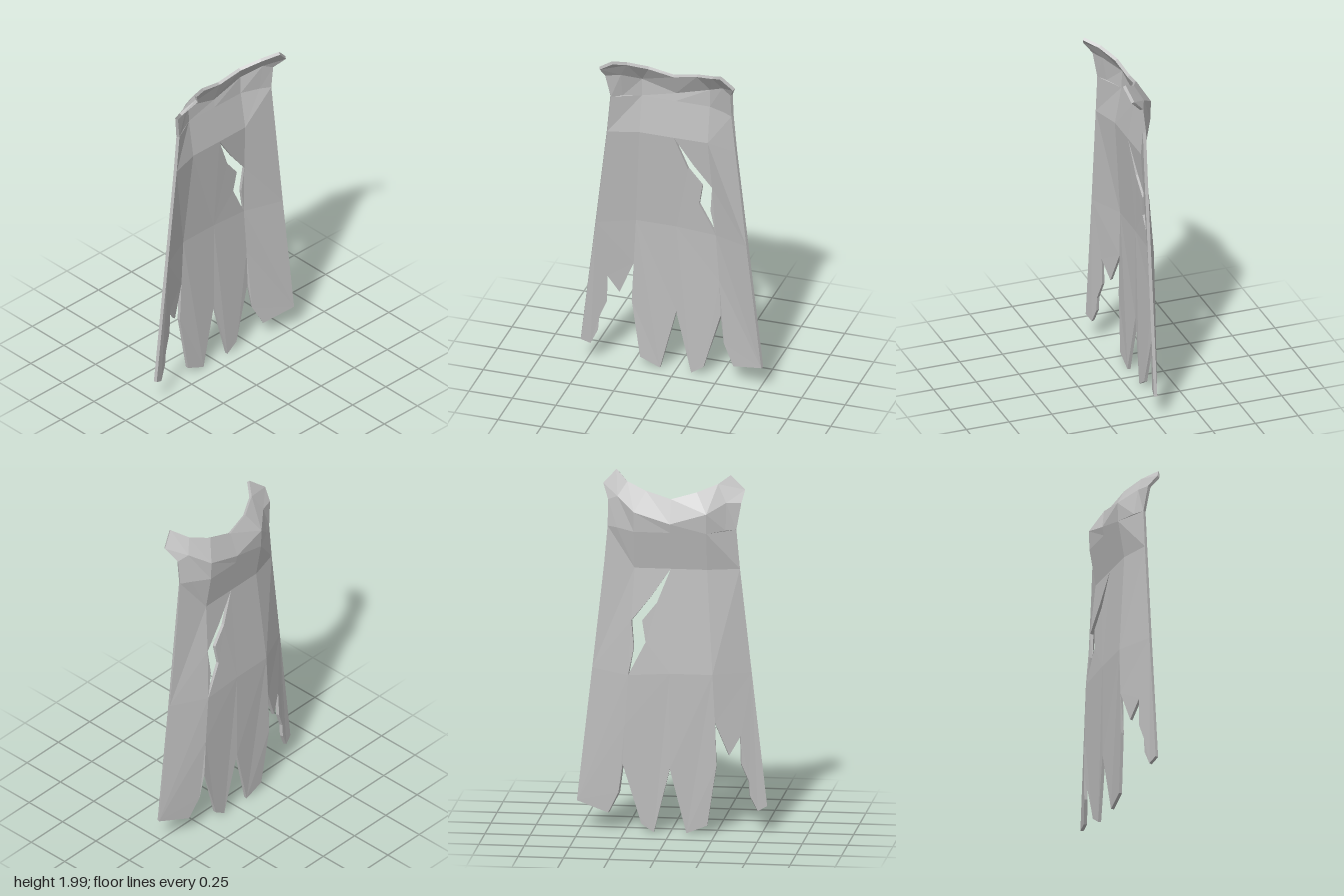
import * as THREE from 'three';

const THICK = 0.018;

// Piecewise-linear lookup through [key, value] pairs with rising keys
function lerpTable(table, k) {
  if (k <= table[0][0]) return table[0][1];
  for (let i = 1; i < table.length; i++) {
    const [k0, v0] = table[i - 1], [k1, v1] = table[i];
    if (k <= k1) return v0 + (v1 - v0) * (k - k0) / (k1 - k0);
  }
  return table[table.length - 1][1];
}

// Depth of the hanging cloth: flat back, sides swept forward from the folds
const backDepth = [[0, -0.092], [0.4, -0.105], [0.9, -0.105], [1.2, -0.085], [1.48, -0.06], [1.7, -0.098]];
const foldX = [[0.4, 0.26], [0.9, 0.232], [1.48, 0.2]];
const edgeX = [[0.15, 0.525], [1.48, 0.375], [1.7, 0.355]];
function clothDepth(x, y) {
  const back = lerpTable(backDepth, y), fold = lerpTable(foldX, y), edge = lerpTable(edgeX, y);
  const t = Math.max(0, (Math.abs(x) - fold) / (edge - fold));
  return back + (-0.012 - back) * Math.min(1, t);
}

// Turns flat panels into one folded sheet with thickness
function sheetGeometry(panels) {
  const points = [], lookup = new Map(), tris = [];
  const indexOf = ([x, y, z]) => {
    const key = x.toFixed(3) + ',' + y.toFixed(3);
    if (!lookup.has(key)) {
      lookup.set(key, points.length);
      points.push(new THREE.Vector3(x, y, z === undefined ? clothDepth(x, y) : z));
    }
    return lookup.get(key);
  };
  for (const panel of panels) {
    const ids = panel.map(indexOf);
    const flat = ids.map(i => new THREE.Vector2(points[i].x, points[i].y));
    if (THREE.ShapeUtils.area(flat) < 0) { flat.reverse(); ids.reverse(); }
    for (const [a, b, c] of THREE.ShapeUtils.triangulateShape(flat, [])) {
      const ccw = THREE.ShapeUtils.area([flat[a], flat[b], flat[c]]) > 0;
      tris.push(ccw ? [ids[a], ids[b], ids[c]] : [ids[a], ids[c], ids[b]]);
    }
  }
  // Inner layer is the outer layer moved along averaged normals
  const normals = points.map(() => new THREE.Vector3());
  const edges = new Set();
  for (const [a, b, c] of tris) {
    const n = points[b].clone().sub(points[a]).cross(points[c].clone().sub(points[a])).normalize();
    for (const i of [a, b, c]) normals[i].add(n);
    for (const [i, j] of [[a, b], [b, c], [c, a]]) edges.add(i + '_' + j);
  }
  const inner = points.map((p, i) => p.clone().addScaledVector(normals[i].normalize(), THICK));
  const out = [];
  const put = (...verts) => verts.forEach(v => out.push(v.x, v.y, v.z));
  for (const [a, b, c] of tris) {
    put(inner[a], inner[b], inner[c]);
    put(points[a], points[c], points[b]);
  }
  // Walls close the sheet along every free edge
  for (const e of edges) {
    const [i, j] = e.split('_').map(Number);
    if (edges.has(j + '_' + i)) continue;
    put(points[i], points[j], inner[j]);
    put(points[i], inner[j], inner[i]);
  }
  const geo = new THREE.BufferGeometry();
  geo.setAttribute('position', new THREE.Float32BufferAttribute(out, 3));
  geo.computeVertexNormals();
  return geo;
}

export function createModel() {
  const cloth = new THREE.MeshStandardMaterial({ color: 0xbcbcbc });
  cloth.name = 'greyCloth';
  cloth.flatShading = true;
  const panels = [];

  // Collar and shoulders, built on each side
  for (const s of [-1, 1]) {
    const r = s > 0;
    const seam = [[0, 1.74, -0.105], [s * 0.2, 1.8, -0.1], [s * 0.3, r ? 1.87 : 1.85, -0.02], [s * (r ? 0.355 : 0.38), 1.845, 0.005]];
    const rim = [[0, 1.87, -0.055], [s * 0.14, 1.908, -0.035], [s * 0.25, 1.945, 0.02],
      r ? [0.32, 1.995, 0.095] : [-0.31, 1.98, 0.095], r ? [0.39, 1.92, 0.07] : [-0.395, 1.91, 0.055]];
    const row = [[0, 1.69], [s * 0.2, 1.69], [s * 0.3, 1.7, -0.045], [s * 0.355, 1.7]];
    panels.push(
      [seam[0], seam[1], rim[1], rim[0]],
      [seam[1], seam[2], rim[2]], [seam[1], rim[2], rim[1]],
      [seam[2], rim[4], rim[3], rim[2]],
      [seam[2], seam[3], rim[4]]);
    for (let i = 0; i < 3; i++) panels.push([row[i], row[i + 1], seam[i + 1], seam[i]]);
    // Upper back
    panels.push(
      [[0, 1.48], [s * 0.2, 1.48], row[1], row[0]],
      [[s * 0.2, 1.48], [s * 0.375, 1.48], row[3], row[2], row[1]]);
  }

  // Middle of the cape, with the tear on the left
  panels.push(
    [[-0.375, 1.48], [-0.44, 0.9], [-0.235, 0.9], [-0.2, 1.48]],
    [[-0.2, 1.48], [-0.235, 0.9], [0, 0.9], [0, 1.48]],
    [[0, 1.48], [0, 0.9], [0.23, 0.885], [0.135, 1.07], [0.155, 1.19], [0.075, 1.29]],
    [[0, 1.48], [0.11, 1.32], [0.215, 1.19], [0.2, 1.48]],
    [[0.2, 1.48], [0.215, 1.19], [0.2, 1.04], [0.23, 0.885], [0.44, 0.9], [0.375, 1.48]]);

  // Ragged hem strips
  panels.push(
    [[-0.44, 0.9], [-0.525, 0.15], [-0.475, 0.125], [-0.435, 0.21], [-0.43, 0.29], [-0.39, 0.39],
      [-0.385, 0.55], [-0.325, 0.445], [-0.25, 0.63], [-0.235, 0.9]],
    [[-0.235, 0.9], [-0.25, 0.63], [-0.257, 0.39], [-0.205, 0.05], [-0.09, 0.003], [0, 0.365], [0, 0.9]],
    [[0, 0.9], [0, 0.365], [0.09, 0.003], [0.16, 0.05], [0.17, 0.09], [0.26, 0.385], [0.25, 0.6], [0.23, 0.885]],
    [[0.23, 0.885], [0.25, 0.6], [0.26, 0.385], [0.285, 0.22], [0.345, 0.1], [0.525, 0.15], [0.44, 0.9]]);

  const cape = new THREE.Mesh(sheetGeometry(panels), cloth);
  cape.name = 'tornCape';
  const group = new THREE.Group();
  group.name = 'cape';
  group.add(cape);
  return group;
}
